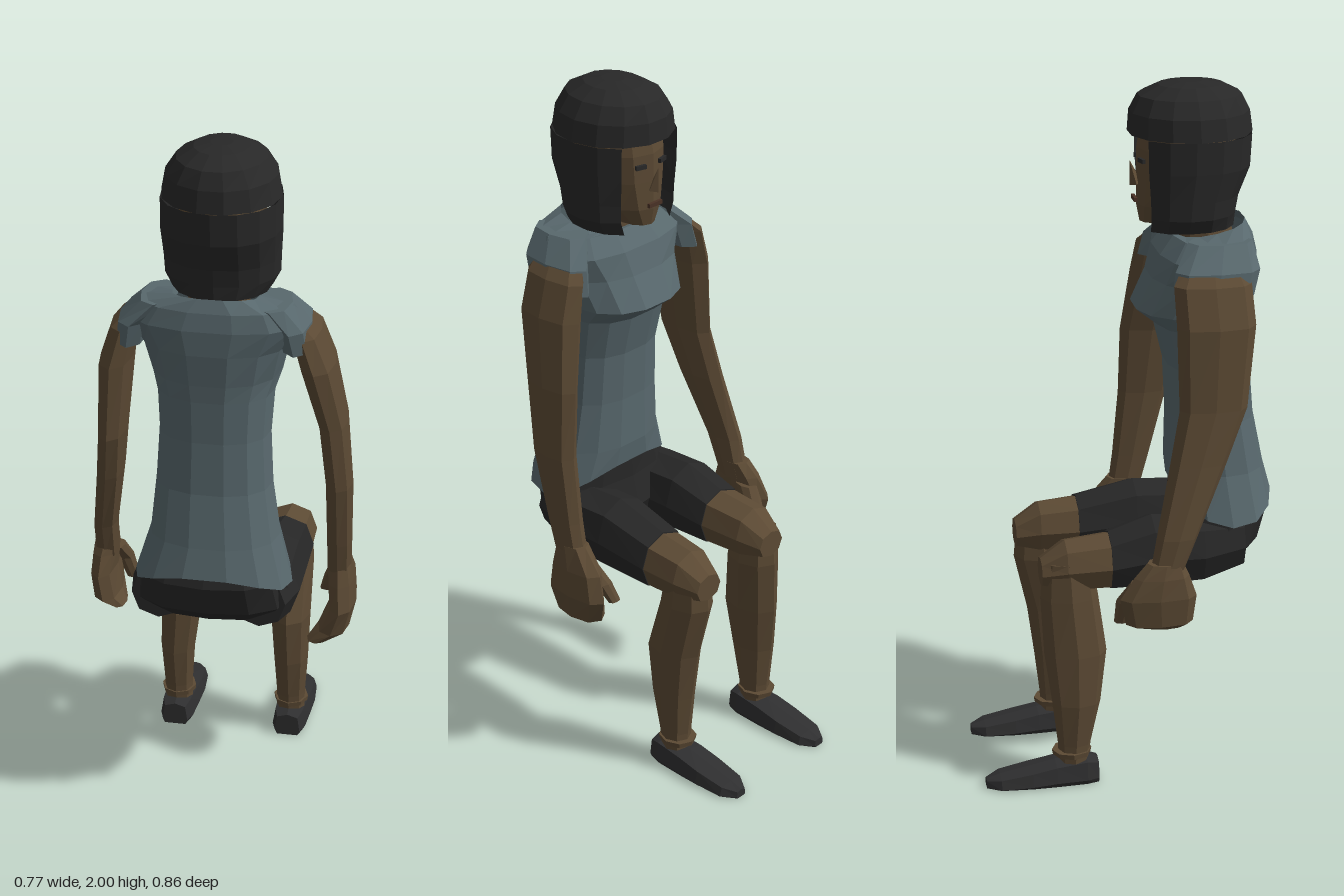
import * as THREE from 'three';

const mat = (name, color) => {
  const m = new THREE.MeshStandardMaterial({ color, flatShading: true, side: THREE.DoubleSide });
  m.name = name;
  return m;
};

// Joins rings [x, y, z, radiusX, radiusDepth, tilt, saddle] listed bottom to top
// (or back to front when tilt is a quarter turn). Saddle lifts front and back.
function loft(rings, { sides = 10, start = 0, sweep = 360, square = 1, caps = true } = {}) {
  const pos = [], idx = [], n = sides + 1, rad = Math.PI / 180;
  const pow = v => Math.sign(v) * Math.abs(v) ** square;
  rings.forEach(([x, y, z, a, b, tilt = 0, saddle = 0]) => {
    for (let i = 0; i < n; i++) {
      const t = (start + sweep * i / sides) * rad, u = a * pow(Math.cos(t)), v = b * pow(Math.sin(t));
      pos.push(x + u, Math.max(0, y + v * Math.sin(tilt) + saddle * Math.sin(t) ** 2), z + v * Math.cos(tilt));
    }
  });
  for (let r = 0; r < rings.length - 1; r++) {
    for (let i = 0; i < sides; i++) {
      const a = r * n + i, b = a + 1, c = a + n, d = c + 1;
      idx.push(a, c, b, b, c, d);
    }
  }
  if (caps) {
    [0, rings.length - 1].forEach((r, top) => {
      const centre = pos.length / 3;
      pos.push(rings[r][0], Math.max(0, rings[r][1]), rings[r][2]);
      for (let i = 0; i < sides; i++) {
        const a = r * n + i;
        idx.push(centre, top ? a + 1 : a, top ? a : a + 1);
      }
    });
  }
  const g = new THREE.BufferGeometry();
  g.setAttribute('position', new THREE.Float32BufferAttribute(pos, 3));
  g.setIndex(idx);
  const flat = g.toNonIndexed();
  flat.computeVertexNormals();
  return flat;
}

export function createModel() {
  const root = new THREE.Group();
  root.name = 'seatedFigure';
  const skin = mat('skin', 0x5c4a34), shirt = mat('shirt', 0x58686d), hair = mat('hair', 0x282828);
  const shorts = mat('shorts', 0x272727), shoe = mat('shoe', 0x2f2f30), lip = mat('lips', 0x4a3226);
  const add = (name, geometry, material, parent = root) => {
    const m = new THREE.Mesh(geometry, material);
    m.name = name;
    parent.add(m);
    return m;
  };
  const Q = Math.PI / 2;

  // Shirt with flared, arched hem, bust line and sloping shoulders
  add('shirt', loft([
    [0.012, 0.76, 0.285, 0.222, 0.145, -0.08, 0.07],
    [0.015, 0.9, 0.27, 0.182, 0.138],
    [0.01, 1.05, 0.255, 0.163, 0.122],
    [0.01, 1.2, 0.245, 0.155, 0.12],
    [0.01, 1.32, 0.23, 0.162, 0.135],
    [0.01, 1.37, 0.2, 0.178, 0.168],
    [0.01, 1.46, 0.225, 0.2, 0.15],
    [0.01, 1.53, 0.235, 0.245, 0.14],
    [0.015, 1.58, 0.25, 0.21, 0.115],
    [0.015, 1.595, 0.25, 0.12, 0.1, 0.2],
  ], { sides: 14, square: 0.85, caps: false }), shirt);

  // Hips
  add('hips', loft([
    [0.005, 0.645, 0.24, 0.18, 0.1],
    [0.005, 0.69, 0.255, 0.22, 0.135],
    [0.005, 0.78, 0.28, 0.205, 0.137],
    [0.01, 0.86, 0.27, 0.17, 0.125],
  ], { sides: 12, square: 0.85 }), shorts);

  // Legs: side name, ankle x, shin top x, knee x, hip x, hem z, knee z
  for (const [side, ax, sx, kx, hx, hem, kz] of [
    ['left', 0.162, 0.157, 0.153, 0.145, -0.11, -0.29],
    ['right', -0.186, -0.16, -0.147, -0.141, -0.065, -0.26],
  ]) {
    const leg = new THREE.Group();
    leg.name = side + 'Leg';
    root.add(leg);
    add('shortsLeg', loft([
      [hx, 0.7, 0.32, 0.075, 0.075, Q],
      [hx, 0.685, 0.2, 0.097, 0.1, Q],
      [hx, 0.685, 0.06, 0.096, 0.108, Q],
      [(hx + kx) / 2, 0.665, hem, 0.085, 0.086, Q],
    ], { sides: 8, square: 0.9 }), shorts, leg);
    add('thigh', loft([
      [(hx + kx) / 2, 0.665, hem + 0.01, 0.083, 0.083, Q],
      [kx, 0.66, kz + 0.07, 0.074, 0.075, Q],
      [kx, 0.645, kz, 0.048, 0.04, Q],
    ], { sides: 8, square: 0.9 }), skin, leg);
    add('shin', loft([
      [ax, 0.05, -0.175, 0.042, 0.042],
      [ax, 0.12, -0.172, 0.043, 0.048],
      [ax, 0.25, -0.165, 0.052, 0.07],
      [(ax + sx) / 2, 0.4, -0.165, 0.06, 0.09],
      [sx, 0.57, kz + 0.08, 0.064, 0.083],
      [sx, 0.68, kz + 0.075, 0.055, 0.068],
    ], { sides: 8 }), skin, leg);
    add('ankleCuff', loft([
      [ax, 0.085, -0.18, 0.05, 0.055],
      [ax, 0.1, -0.18, 0.052, 0.058],
    ], { sides: 8 }), skin, leg);
    // Flat-soled shoe, heel to toe
    add('shoe', loft([
      [ax, 0.015, -0.105, 0.038, 0.055, Q],
      [ax, 0.015, -0.14, 0.05, 0.065, Q],
      [ax, 0.015, -0.23, 0.055, 0.055, Q],
      [ax, 0.01, -0.3, 0.056, 0.045, Q],
      [ax, 0.005, -0.39, 0.048, 0.032, Q],
      [ax, 0.005, -0.43, 0.018, 0.02, Q],
    ], { sides: 8, square: 0.55 }), shoe, leg);
  }

  // Arms, each from wrist up to shoulder; hands from fingertips up to wrist; short sleeve caps
  const limbs = {
    left: {
      arm: [[0.335, 0.68, 0.065, 0.034, 0.048], [0.337, 0.8, 0.09, 0.036, 0.056], [0.338, 1.0, 0.125, 0.039, 0.073],
        [0.322, 1.2, 0.145, 0.041, 0.09], [0.283, 1.39, 0.185, 0.048, 0.108], [0.252, 1.49, 0.195, 0.04, 0.105],
        [0.22, 1.53, 0.21, 0.035, 0.085]],
      hand: [[0.275, 0.465, 0.08, 0.028, 0.04], [0.32, 0.5, 0.05, 0.045, 0.08], [0.345, 0.58, 0.042, 0.038, 0.105],
        [0.34, 0.66, 0.045, 0.04, 0.09], [0.335, 0.73, 0.065, 0.034, 0.05]],
      thumb: [[0.285, 0.56, -0.045, 0.02, 0.015], [0.305, 0.62, -0.02, 0.025, 0.025], [0.325, 0.67, 0.02, 0.028, 0.035]],
      sleeve: [[0.232, 1.45, 0.2, 0.042, 0.11], [0.222, 1.52, 0.22, 0.046, 0.115], [0.17, 1.585, 0.25, 0.05, 0.09]],
    },
    right: {
      arm: [[-0.343, 0.68, 0.06, 0.034, 0.045], [-0.338, 0.8, 0.095, 0.035, 0.058], [-0.305, 1.0, 0.16, 0.038, 0.08],
        [-0.285, 1.15, 0.205, 0.038, 0.095], [-0.267, 1.38, 0.215, 0.046, 0.11], [-0.237, 1.49, 0.21, 0.04, 0.108],
        [-0.2, 1.53, 0.215, 0.035, 0.085]],
      hand: [[-0.31, 0.52, 0.07, 0.022, 0.045], [-0.345, 0.55, 0.045, 0.038, 0.095], [-0.355, 0.63, 0.04, 0.036, 0.108],
        [-0.35, 0.69, 0.05, 0.036, 0.078], [-0.343, 0.73, 0.06, 0.034, 0.05]],
      thumb: [[-0.295, 0.54, -0.055, 0.02, 0.02], [-0.315, 0.61, -0.045, 0.025, 0.028], [-0.335, 0.67, 0, 0.028, 0.035]],
      sleeve: [[-0.218, 1.45, 0.215, 0.042, 0.114], [-0.206, 1.52, 0.23, 0.046, 0.118], [-0.14, 1.585, 0.25, 0.05, 0.09]],
    },
  };
  for (const [side, parts] of Object.entries(limbs)) {
    const group = new THREE.Group();
    group.name = side + 'Arm';
    root.add(group);
    for (const [name, rings] of Object.entries(parts)) {
      add(name, loft(rings, { sides: 8, square: 0.85 }), name === 'sleeve' ? shirt : skin, group);
    }
  }

  // Neck and head
  const hx = 0.019;
  add('neck', loft([[hx, 1.5, 0.235, 0.1, 0.09], [hx, 1.57, 0.235, 0.085, 0.085], [hx, 1.7, 0.22, 0.068, 0.07]]), skin);
  add('head', loft([
    [hx, 1.61, 0.12, 0.045, 0.065],
    [hx, 1.66, 0.16, 0.085, 0.115],
    [hx, 1.74, 0.18, 0.11, 0.135],
    [hx, 1.82, 0.185, 0.12, 0.14],
    [hx, 1.9, 0.19, 0.115, 0.13],
  ], { sides: 12 }), skin);
  const nose = add('nose', new THREE.ConeGeometry(0.018, 0.07, 4), skin);
  nose.position.set(hx, 1.75, 0.035);
  nose.rotation.x = -0.25;
  const mouth = add('mouth', new THREE.BoxGeometry(0.05, 0.012, 0.009), lip);
  mouth.position.set(hx, 1.675, 0.04);
  for (const s of [-1, 1]) {
    const eye = add('eye', new THREE.BoxGeometry(0.032, 0.012, 0.009), hair);
    eye.position.set(hx + s * 0.042, 1.79, 0.052);
    eye.rotation.y = -s * 0.27;
  }

  // Bobbed hair: a closed cap over side and back curtains left open at the face
  add('hairCap', loft([
    [hx, 1.86, 0.195, 0.163, 0.174],
    [hx, 1.92, 0.193, 0.152, 0.168],
    [hx, 1.965, 0.193, 0.122, 0.145],
    [hx, 1.992, 0.195, 0.075, 0.09],
    [hx, 2, 0.195, 0.03, 0.035],
  ], { sides: 14 }), hair);
  add('hairCurtain', loft([
    [hx, 1.6, 0.18, 0.135, 0.14],
    [hx, 1.64, 0.18, 0.156, 0.142],
    [hx, 1.69, 0.183, 0.158, 0.148],
    [hx, 1.77, 0.194, 0.163, 0.17],
    [hx, 1.86, 0.195, 0.163, 0.174],
  ], { sides: 12, start: -50, sweep: 280, square: 0.92, caps: false }), hair);
  return root;
}
